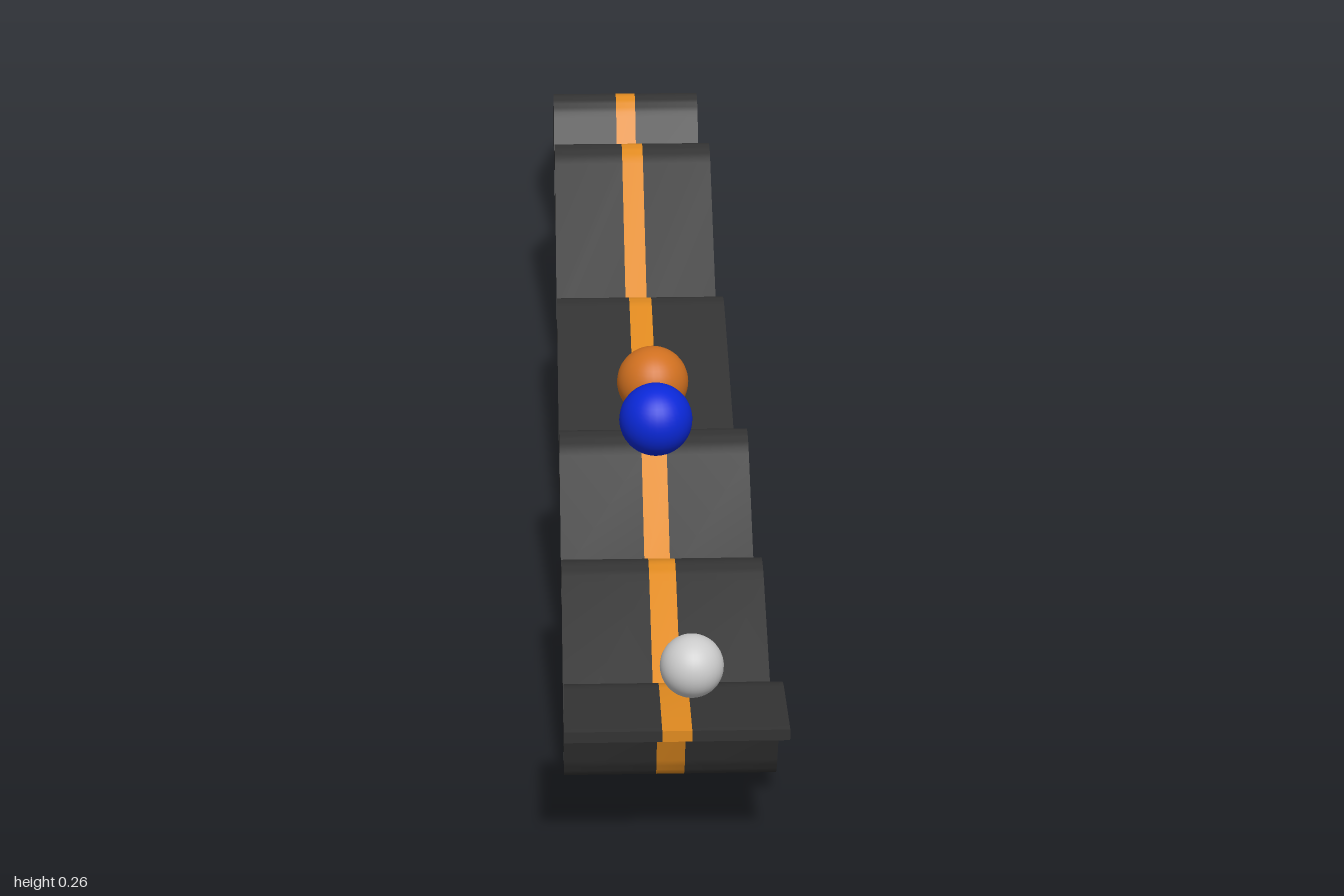
import * as THREE from 'three';
import { toCreasedNormals } from 'three/addons/utils/BufferGeometryUtils.js';

// Corners of the track's centre line as [z, y], front to back
const CORNERS = [
  [1, 0.142], [0.893, 0.142], [0.845, 0.012], [0.626, 0.135], [0.548, 0.033], [0.39, 0.165],
  [0.255, 0.026], [-0.066, 0.132], [-0.18, 0.025], [-0.4, 0.206], [-0.625, 0.02],
  [-0.726, 0.166], [-0.997, 0.0045],
].map(([z, y]) => new THREE.Vector2(z, y));
const ROUNDING = 0.036;
const HALF_THICK = 0.005;

// Centre line with every inner corner replaced by a short curve
function centreLine() {
  const points = [CORNERS[0]];
  for (let i = 1; i < CORNERS.length - 1; i++) {
    const c = CORNERS[i];
    const toward = (p) => c.clone().add(p.clone().sub(c).setLength(ROUNDING));
    const bend = new THREE.QuadraticBezierCurve(toward(CORNERS[i - 1]), c, toward(CORNERS[i + 1]));
    points.push(...bend.getPoints(10));
  }
  points.push(CORNERS[CORNERS.length - 1]);
  return points;
}

// Closed side outline: the centre line offset to both sides
function trackShape() {
  const line = centreLine();
  const offset = (d) => line.map((p, i) => {
    const a = line[Math.max(i - 1, 0)];
    const b = line[Math.min(i + 1, line.length - 1)];
    const t = b.clone().sub(a).normalize();
    return new THREE.Vector2(p.x + t.y * d, p.y - t.x * d);
  });
  return new THREE.Shape([...offset(HALF_THICK), ...offset(-HALF_THICK).reverse()]);
}

export function createModel() {
  const model = new THREE.Group();
  model.name = 'wavyTrack';
  const shape = trackShape();

  // A lengthwise band of the track between two x positions
  function addBand(name, x0, x1, color) {
    let geo = new THREE.ExtrudeGeometry(shape, { depth: x1 - x0, bevelEnabled: false });
    geo.rotateY(-Math.PI / 2).translate(x1, 0, 0);
    geo = toCreasedNormals(geo, 0.5);
    const mesh = new THREE.Mesh(geo, new THREE.MeshStandardMaterial({ color }));
    mesh.name = name;
    model.add(mesh);
  }
  addBand('trackRight', -0.094, -0.0125, 0x333333);
  addBand('trackStripe', -0.0125, 0.0125, 0xe08a20);
  addBand('trackLeft', 0.0125, 0.094, 0x333333);

  // Balls above the track
  function addBall(name, radius, x, y, z, color) {
    const mesh = new THREE.Mesh(
      new THREE.SphereGeometry(radius, 32, 24),
      new THREE.MeshStandardMaterial({ color }),
    );
    mesh.name = name;
    mesh.position.set(x, y, z);
    model.add(mesh);
  }
  addBall('smallBall', 0.027, 0.014, 0.182, 0.95, 0xcccccc);
  addBall('blueBall', 0.035, -0.002, 0.227, 0.523, 0x0a28d8);
  addBall('orangeBall', 0.035, -0.002, 0.228, 0.43, 0xd07020);

  return model;
}
